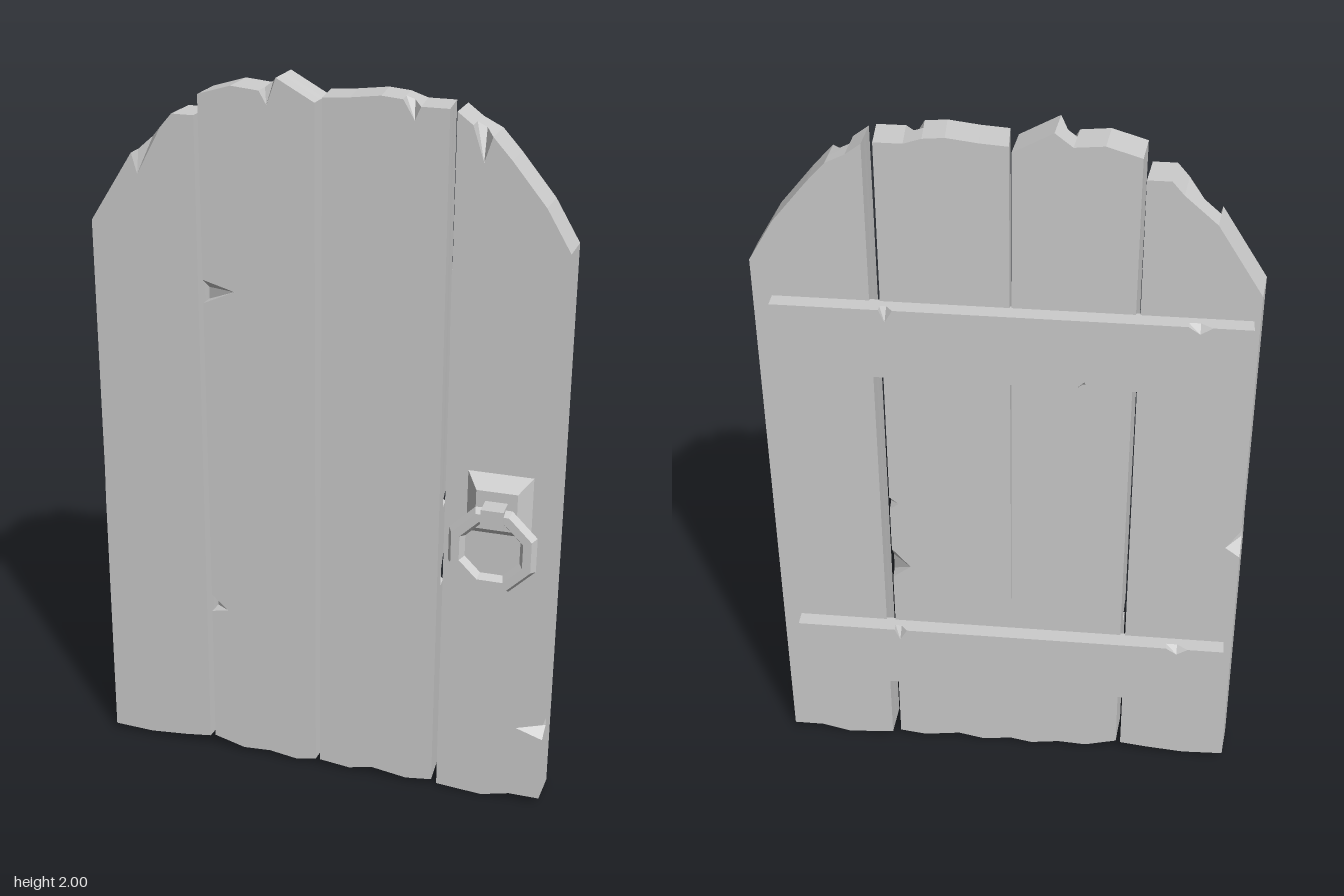
import * as THREE from 'three';

const material = new THREE.MeshStandardMaterial({ color: 0xcccccc, flatShading: true });

function add(parent, name, geometry, x = 0, y = 0, z = 0) {
  const mesh = new THREE.Mesh(geometry, material);
  mesh.name = name;
  mesh.position.set(x, y, z);
  parent.add(mesh);
  return mesh;
}

// Board with chipped edges. Outline points are [x, y, chip], counter-clockwise from the front;
// chip = 1 cuts a notch from the front only, -1 from the back only.
function board(points, zFront, zBack, chipDepth, skew = 0) {
  const n = points.length;
  const ring = (side, z, shift) => points.map(([x, y, chip = 0], i) => {
    if (chip && chip !== side) {
      const a = points[(i + n - 1) % n], b = points[(i + 1) % n];
      x = (a[0] + b[0]) / 2;
      y = (a[1] + b[1]) / 2;
    }
    return new THREE.Vector3(x + shift, y, z);
  });
  const rings = [
    ring(1, zFront, 0),
    ring(0, zFront - chipDepth, skew * 0.4),
    ring(0, zBack + chipDepth, skew * 0.6),
    ring(-1, zBack, skew),
  ];
  const verts = [];
  const tri = (...corners) => corners.forEach((v) => verts.push(v.x, v.y, v.z));
  const cap = (r, flip) => {
    const flat = r.map((v) => new THREE.Vector2(v.x, v.y));
    for (const [a, b, c] of THREE.ShapeUtils.triangulateShape(flat, [])) {
      if (flip) tri(r[a], r[c], r[b]); else tri(r[a], r[b], r[c]);
    }
  };
  cap(rings[0], false);
  cap(rings[3], true);
  for (let k = 0; k < 3; k++) {
    for (let i = 0; i < n; i++) {
      const j = (i + 1) % n, f = rings[k], b = rings[k + 1];
      tri(f[i], b[i], b[j]);
      tri(f[i], b[j], f[j]);
    }
  }
  const geometry = new THREE.BufferGeometry();
  geometry.setAttribute('position', new THREE.Float32BufferAttribute(verts, 3));
  geometry.computeVertexNormals();
  return geometry;
}

const PLANKS = [
  { skew: 0.01, points: [
    [-0.645, 0.02], [-0.53, 0.015], [-0.42, 0.025], [-0.345, 0.035], [-0.34, 1.89], [-0.4, 1.89],
    [-0.43, 1.855], [-0.5, 1.725, 1], [-0.515, 1.78], [-0.635, 1.59],
    [-0.638, 0.86], [-0.6, 0.8, -1], [-0.64, 0.77]] },
  { skew: 0.008, points: [
    [-0.33, 0.04], [-0.24, 0.015], [-0.16, 0.02], [-0.08, 0.008], [-0.02, 0.02], [-0.02, 1.945],
    [-0.12, 2.0], [-0.145, 1.93, 1], [-0.165, 1.965], [-0.24, 1.972], [-0.328, 1.945],
    [-0.328, 1.455], [-0.24, 1.43, 1], [-0.328, 1.39],
    [-0.328, 0.515], [-0.28, 0.47, 1], [-0.328, 0.46]] },
  { skew: -0.006, points: [
    [-0.008, 0.02], [0.08, 0.01], [0.15, 0.025], [0.25, 0.01], [0.325, 0.02],
    [0.325, 0.62], [0.275, 0.66, -1], [0.325, 0.72], [0.325, 0.86], [0.3, 0.88, -1], [0.325, 0.9],
    [0.322, 1.955], [0.25, 1.955], [0.235, 1.92, 1], [0.205, 1.97], [0.15, 1.975],
    [0.07, 1.965], [0, 1.96]] },
  { skew: 0.004, points: [
    [0.34, 0.01], [0.47, 0], [0.55, 0.02], [0.635, 0.02],
    [0.635, 0.215], [0.56, 0.24, 1], [0.635, 0.265], [0.635, 1.62], [0.57, 1.73], [0.48, 1.84],
    [0.43, 1.895], [0.41, 1.83, 1], [0.38, 1.92], [0.34, 1.95]] },
];

export function createModel() {
  const door = new THREE.Group();
  door.name = 'door';

  // Four vertical planks with worn ends
  PLANKS.forEach(({ points, skew }, i) => {
    add(door, `plank${i + 1}`, board(points, 0.02, -0.077, 0.04, skew));
  });

  // Two battens across the back
  [0.26, 1.32].forEach((y, i) => {
    const h = 0.2;
    const outline = [
      [-0.61, 0], [-0.21, 0], [-0.2, 0.02, -1], [-0.18, 0], [0.59, 0], [0.59, h],
      [0.315, h], [0.3, h - 0.035, -1], [0.28, h],
      [-0.45, h], [-0.48, h - 0.02, -1], [-0.51, h], [-0.61, h]];
    add(door, ['lowerBatten', 'upperBatten'][i], board(outline, -0.07, -0.12, 0.02), 0, y, 0);
  });

  // Ring handle on a tapered plate
  const handle = new THREE.Group();
  handle.name = 'handle';
  handle.position.set(0.487, 0, 0);
  door.add(handle);

  const plate = new THREE.CylinderGeometry(0.055 * Math.SQRT2, 0.088 * Math.SQRT2, 0.045, 4, 1);
  plate.rotateY(Math.PI / 4).rotateX(Math.PI / 2);
  add(handle, 'handlePlate', plate, 0, 0.92, 0.0415);

  add(handle, 'ringMount', new THREE.BoxGeometry(0.06, 0.05, 0.062), 0, 0.922, 0.089);

  const ring = new THREE.TorusGeometry(0.103, 0.024, 6, 8);
  ring.rotateZ(Math.PI / 8);
  add(handle, 'handleRing', ring, 0, 0.825, 0.094);

  return door;
}
